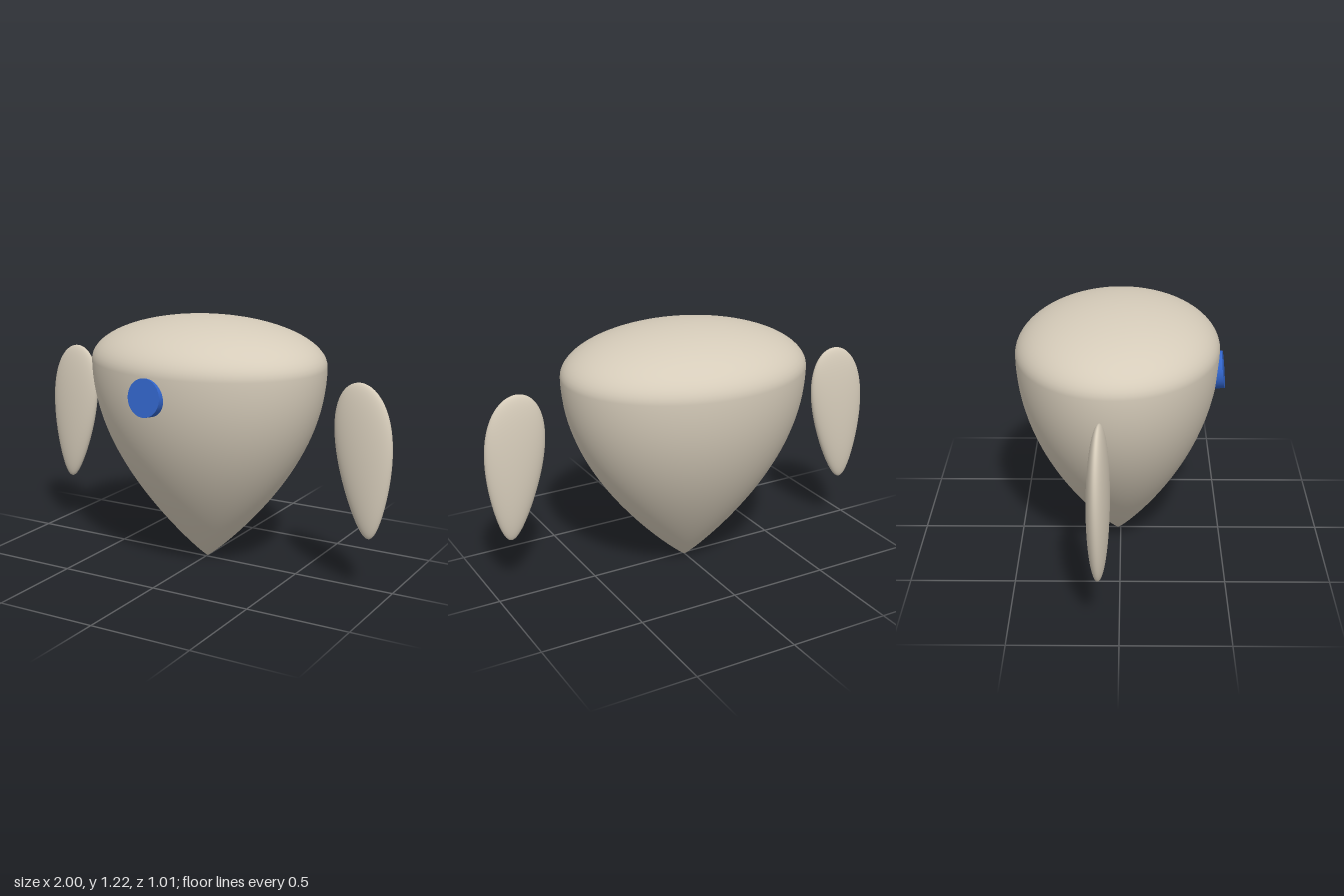
import * as THREE from 'three';
import { mergeVertices } from 'three/addons/utils/BufferGeometryUtils.js';

const RX = 0.607, RZ = 0.487; // body half width and half depth
const RIM = 1.0, TOP = 1.22; // height of the widest ring and of the dome

// Pointed lower hull under a shallow dome
function bodyGeometry() {
  const points = [];
  for (let i = 0; i <= 32; i++) {
    const y = Math.pow(i / 32, 1.4);
    points.push(new THREE.Vector2(RX * Math.sin(Math.PI / 2 * Math.pow(y, 0.9)), y * RIM));
  }
  for (let i = 1; i <= 20; i++) {
    const a = (i / 20) * Math.PI / 2;
    points.push(new THREE.Vector2(i === 20 ? 0 : RX * Math.cos(a), RIM + (TOP - RIM) * Math.sin(a)));
  }
  return new THREE.LatheGeometry(points, 72).scale(1, 1, RZ / RX);
}

// Flat teardrop: a sphere that narrows and leans outward toward its lower tip
function armGeometry() {
  let g = new THREE.SphereGeometry(1, 48, 40);
  g.deleteAttribute('uv');
  g.deleteAttribute('normal');
  g = mergeVertices(g);
  const p = g.attributes.position;
  for (let i = 0; i < p.count; i++) {
    const s = p.getY(i);
    p.setXYZ(i,
      0.867 - 0.0325 * s + p.getX(i) * (0.137 + 0.05 * s),
      0.632 + 0.362 * s,
      p.getZ(i) * 0.05);
  }
  g.computeVertexNormals();
  return g;
}

export function createModel() {
  const shell = new THREE.MeshStandardMaterial({ color: 0xd6ccba });
  shell.name = 'warm beige';
  const blue = new THREE.MeshStandardMaterial({ color: 0x3366cc });
  blue.name = 'blue';

  const model = new THREE.Group();
  model.name = 'floatingRobot';
  const turned = new THREE.Group();
  turned.name = 'turnedBody';
  turned.position.z = -0.013;
  turned.rotation.y = -0.09;
  model.add(turned);

  const add = (name, geometry, material) => {
    const mesh = new THREE.Mesh(geometry, material);
    mesh.name = name;
    turned.add(mesh);
    return mesh;
  };

  add('body', bodyGeometry(), shell);

  // Detached arms, the right one turned half round
  const arm = armGeometry();
  add('leftArm', arm, shell);
  add('rightArm', arm, shell).rotation.y = Math.PI;

  // Round eye disc, tilted slightly upward and sunk into the hull
  const disc = new THREE.CylinderGeometry(0.09, 0.09, 0.05, 48).rotateX(Math.PI / 2);
  const eye = add('eye', disc, blue);
  eye.position.set(0, 0.905, 0.482);
  eye.rotation.x = -0.11;

  return model;
}
